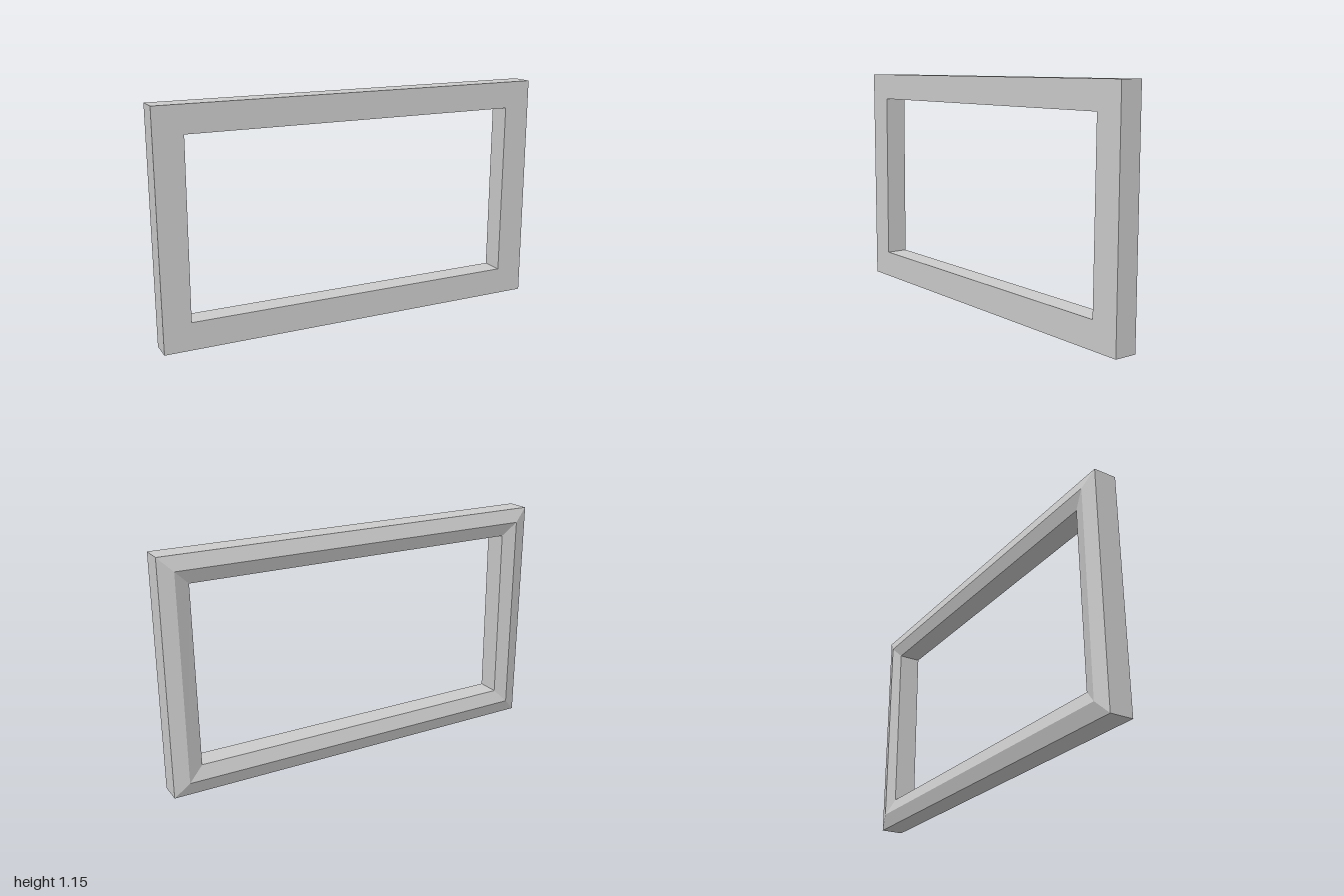
import * as THREE from 'three';

export function createModel() {
  const group = new THREE.Group();
  group.name = 'frame';

  const front = 0.068, shoulder = -0.046, ridge = -0.068;

  // Matching corners, counter-clockwise from bottom left; the opening is slightly skewed
  const outer = [[-1, 0], [1, 0], [1, 1.155], [-1, 1.155]];
  const inner = [[-0.864, 0.138], [0.856, 0.138], [0.861, 1.02], [-0.857, 1.02]];

  // Rail cross-section: [share of the way from outer to inner edge, z]
  const profile = [[0, front], [0, shoulder], [0.5, ridge], [1, shoulder], [1, front]];

  const point = (corner, step) => {
    const [t, z] = profile[step % profile.length];
    const o = outer[corner % 4], n = inner[corner % 4];
    return [THREE.MathUtils.lerp(o[0], n[0], t), THREE.MathUtils.lerp(o[1], n[1], t), z];
  };

  const material = new THREE.MeshStandardMaterial({ color: 0xcccccc, flatShading: true });

  // Four mitred rails swept from corner to corner
  ['bottomRail', 'leftRail', 'topRail', 'rightRail'].forEach((name, i) => {
    const positions = [];
    for (let j = 0; j < profile.length; j++) {
      const a = point(i, j), b = point(i, j + 1), c = point(i + 1, j + 1), d = point(i + 1, j);
      positions.push(...a, ...b, ...c, ...a, ...c, ...d);
    }
    const geometry = new THREE.BufferGeometry();
    geometry.setAttribute('position', new THREE.Float32BufferAttribute(positions, 3));
    geometry.computeVertexNormals();
    const rail = new THREE.Mesh(geometry, material);
    rail.name = name;
    group.add(rail);
  });

  return group;
}
